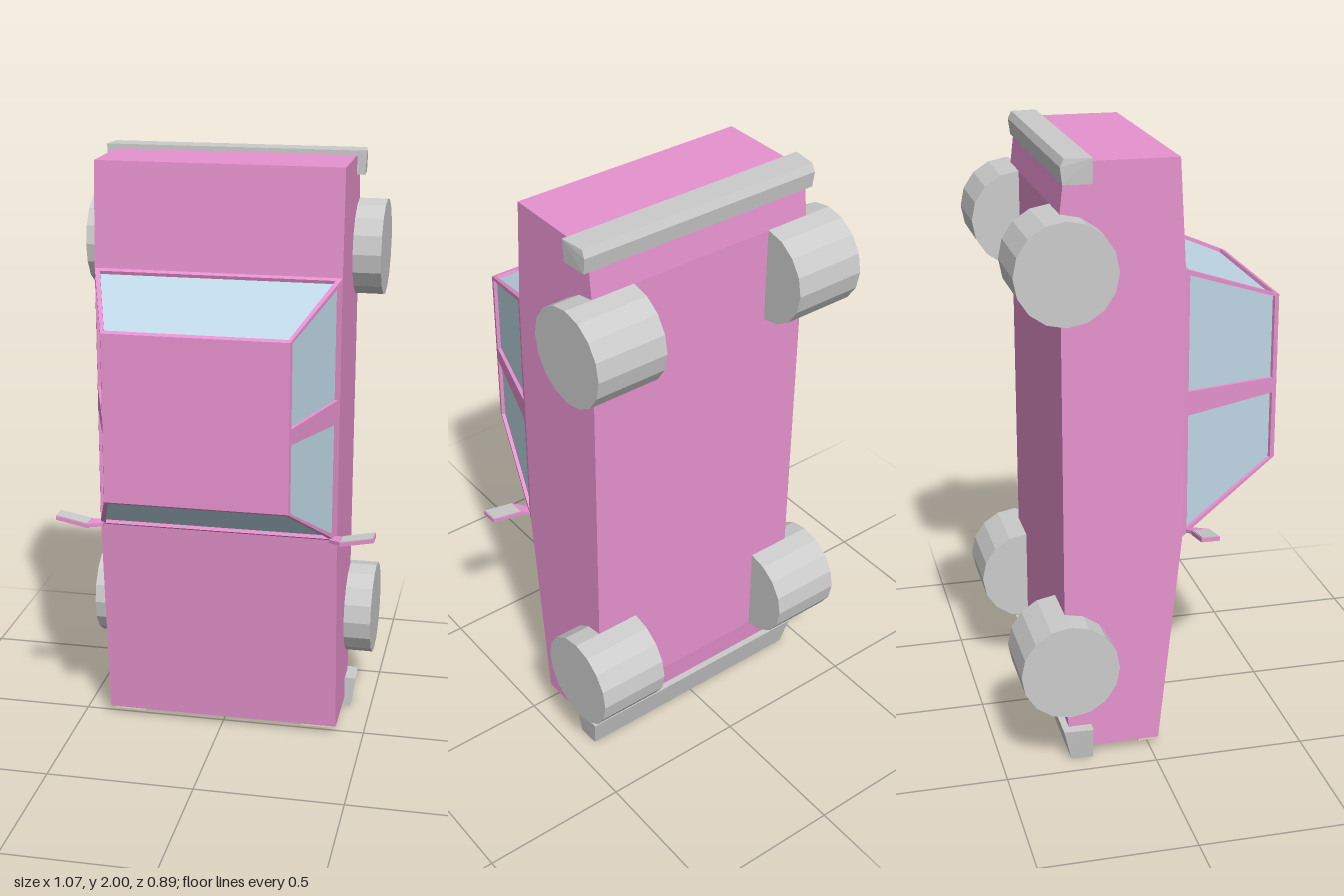
import * as THREE from 'three';
import { ConvexGeometry } from 'three/addons/geometries/ConvexGeometry.js';

const material = (color, side = THREE.FrontSide) =>
  new THREE.MeshStandardMaterial({ color, flatShading: true, side });
const paint = material(0xe692ce);
const glass = material(0xbfd8e7);
const grey = material(0xcccccc);
const lamp = material(0xe6dcb8);

const V = (x, y, z) => new THREE.Vector3(x, y, z);

function add(parent, name, geometry, mat) {
  const mesh = new THREE.Mesh(geometry, mat);
  mesh.name = name;
  parent.add(mesh);
  return mesh;
}

// Geometry from a list of four-cornered faces, corners counter-clockwise
function quads(list) {
  const points = list.flatMap(([a, b, c, d]) => [a, b, c, a, c, d]);
  const g = new THREE.BufferGeometry().setFromPoints(points);
  g.computeVertexNormals();
  return g;
}

// Wall with one recessed pane; corners: lower start, lower end, upper end, upper start
function windowWall(parent, name, c, u0, u1) {
  const at = (u, v) => c[0].clone().lerp(c[1], u).lerp(c[3].clone().lerp(c[2], u), v);
  const hole = [at(u0, 0.045), at(1 - u1, 0.045), at(1 - u1, 0.955), at(u0, 0.955)];
  const normal = c[1].clone().sub(c[0]).cross(c[3].clone().sub(c[0])).normalize();
  const pane = hole.map(p => p.clone().addScaledVector(normal, -0.012));
  const faces = [];
  for (let i = 0; i < 4; i++) {
    const j = (i + 1) % 4;
    faces.push([c[i], c[j], hole[j], hole[i]], [hole[i], hole[j], pane[j], pane[i]]);
  }
  add(parent, name + 'Frame', quads(faces), paint);
  add(parent, name + 'Glass', quads([pane]), glass);
}

// Solid bar across the car: [half width, y, z] for each profile corner
function bar(parent, name, profile) {
  const pts = profile.flatMap(([w, y, z]) => [V(w, y, z), V(-w, y, z)]);
  add(parent, name, new ConvexGeometry(pts), grey);
}

export function createModel() {
  const car = new THREE.Group();
  car.name = 'car';

  // Lower body: side profile (z, y) extruded across the width
  const profile = [[0.03, 0.03], [0.105, 0.755], [0.105, 1.64], [0.085, 1.985],
    [-0.267, 1.985], [-0.285, 1.83], [-0.285, 0.2], [-0.267, 0.03]];
  const shape = new THREE.Shape(profile.map(([z, y]) => new THREE.Vector2(z, y)));
  const body = new THREE.ExtrudeGeometry(shape, { depth: 0.81, bevelEnabled: false });
  body.rotateY(-Math.PI / 2).translate(0.405, 0, 0);
  add(car, 'body', body, paint);

  // Cabin
  const cabin = new THREE.Group();
  cabin.name = 'cabin';
  car.add(cabin);
  const low = (s, y) => V(s * 0.405, y, 0.105);
  const top = (s, y) => V(s * 0.295, y, 0.445);
  const [lf, lm, lr] = [0.755, 1.205, 1.64];
  const [tf, tm, tr] = [0.96, 1.207, 1.51];
  add(cabin, 'roof', quads([[top(-1, tf), top(1, tf), top(1, tr), top(-1, tr)]]), paint);
  windowWall(cabin, 'windshield', [low(-1, lf), low(1, lf), top(1, tf), top(-1, tf)], 0.02, 0.02);
  windowWall(cabin, 'rearWindow', [low(1, lr), low(-1, lr), top(-1, tr), top(1, tr)], 0.02, 0.02);
  for (const s of [1, -1]) {
    const side = s > 0 ? 'left' : 'right';
    const panes = [['FrontWindow', lf, lm, tf, tm, 0.035, 0.09],
      ['RearWindow', lm, lr, tm, tr, 0.09, 0.035]];
    for (const [name, l0, l1, t0, t1, m0, m1] of panes) {
      if (s > 0) windowWall(cabin, side + name, [low(s, l0), low(s, l1), top(s, t1), top(s, t0)], m0, m1);
      else windowWall(cabin, side + name, [low(s, l1), low(s, l0), top(s, t0), top(s, t1)], m1, m0);
    }
  }

  // Bumpers
  bar(car, 'frontBumper', [[0.445, 0.11, -0.2], [0.44, 0.11, -0.298],
    [0.428, 0, -0.2], [0.425, 0, -0.272]]);
  bar(car, 'rearBumper', [[0.437, 2, -0.19], [0.427, 2, -0.275], [0.428, 1.975, -0.287],
    [0.432, 1.922, -0.19], [0.427, 1.922, -0.28]]);

  for (const s of [1, -1]) {
    const side = s > 0 ? 'left' : 'right';

    // Wheels
    for (const [name, y] of [['FrontWheel', 0.36], ['RearWheel', 1.67]]) {
      const wheel = add(car, side + name, new THREE.CylinderGeometry(0.161, 0.161, 0.245, 16), grey);
      wheel.rotation.z = Math.PI / 2;
      wheel.position.set(s * 0.3765, y, -0.285);
    }

    // Headlights
    const light = add(car, side + 'Headlight', new THREE.BoxGeometry(0.115, 0.02, 0.055), lamp);
    light.position.set(s * 0.3375, 0.028, -0.01);

    // Door mirror: tapered stalk, housing and reflecting face
    const slab = (ends, y0, y1) => new ConvexGeometry(ends.flatMap(([x, y, z0, z1]) =>
      [y + y0, y + y1].flatMap(h => [V(s * x, h, z0), V(s * x, h, z1)])));
    add(car, side + 'MirrorStalk',
      slab([[0.385, 0.768, 0.11, 0.15], [0.427, 0.776, 0.132, 0.188]], -0.006, 0.006), paint);
    add(car, side + 'MirrorHousing',
      slab([[0.425, 0.775, 0.13, 0.19], [0.537, 0.797, 0.13, 0.19]], -0.008, 0.006), paint);
    add(car, side + 'MirrorFace',
      slab([[0.428, 0.776, 0.133, 0.187], [0.534, 0.797, 0.133, 0.187]], 0.004, 0.008), grey);
  }
  return car;
}
